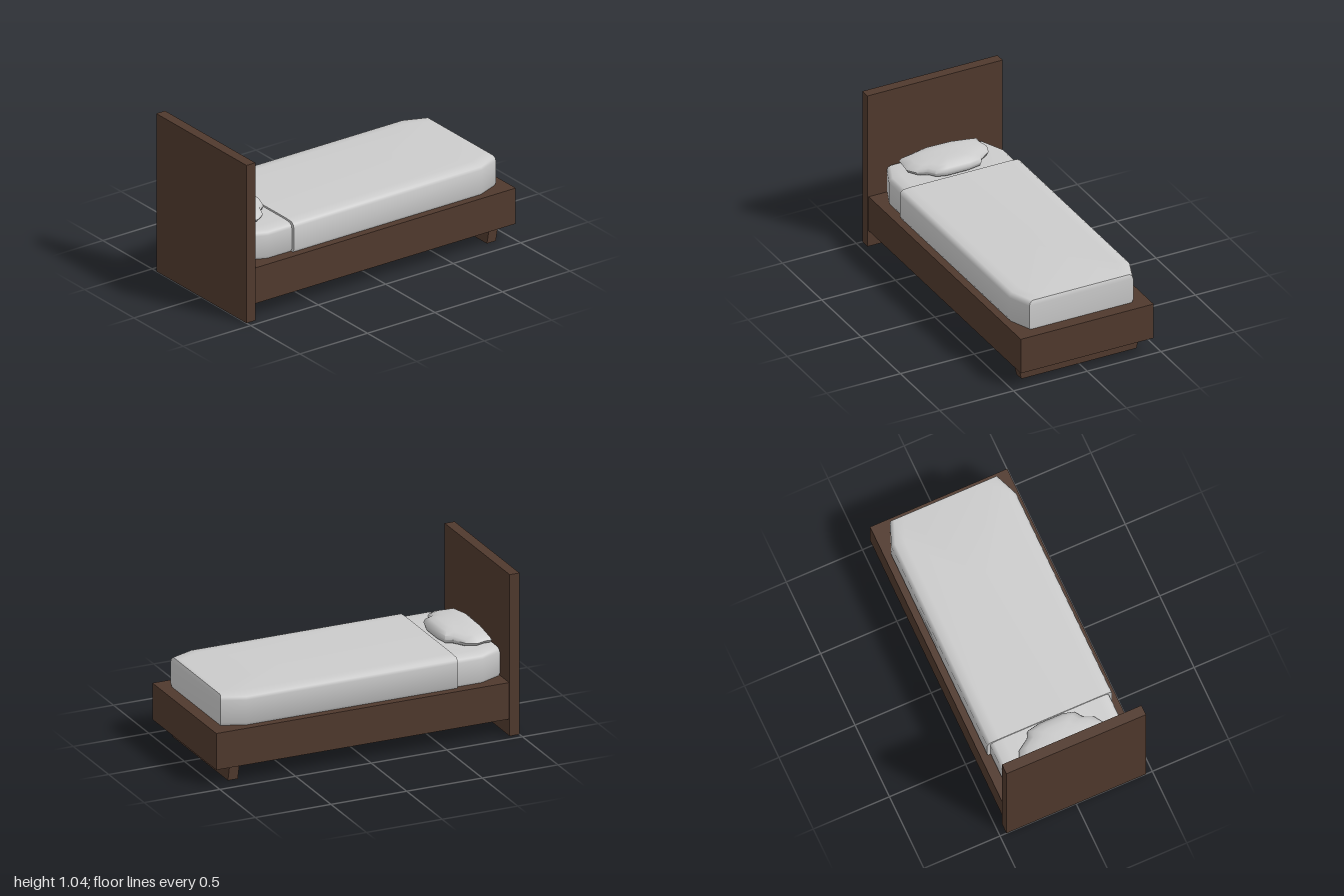
import * as THREE from 'three';
import { toCreasedNormals } from 'three/addons/utils/BufferGeometryUtils.js';

const wood = new THREE.MeshStandardMaterial({ color: 0x50392d });
const cloth = new THREE.MeshStandardMaterial({ color: 0xcccccc });

// Closed skin over stacked rings of [x, y, z] points, capped at both ends
function loft(rings, crease) {
  const n = rings[0].length;
  const points = rings.flat();
  const index = [];
  for (let r = 0; r < rings.length - 1; r++) {
    for (let i = 0; i < n; i++) {
      const a = r * n + i, b = r * n + (i + 1) % n;
      index.push(a, b, b + n, a, b + n, a + n);
    }
  }
  for (const top of [false, true]) {
    const start = top ? (rings.length - 1) * n : 0;
    const ring = points.slice(start, start + n);
    const middle = points.push([0, 1, 2].map(k => ring.reduce((s, p) => s + p[k], 0) / n)) - 1;
    for (let i = 0; i < n; i++) {
      const a = start + i, b = start + (i + 1) % n;
      if (top) index.push(a, b, middle);
      else index.push(b, a, middle);
    }
  }
  const geometry = new THREE.BufferGeometry();
  geometry.setAttribute('position', new THREE.Float32BufferAttribute(points.flat(), 3));
  geometry.setIndex(index);
  return toCreasedNormals(geometry, crease);
}

// Bedding slab with softened top and bottom; headX stays flush when openHead is set
function slab(outline, y0, y1, openHead) {
  const headX = Math.min(...outline.map(p => p[0]));
  const profile = [[0.01, y0], [0, y0 + 0.02], [0, y1 - 0.035], [0.006, y1 - 0.016],
    [0.022, y1 - 0.004], [0.08, y1]];
  return loft(profile.map(([inset, y]) => outline.map(([x, z]) => [
    openHead && x === headX ? x : x - Math.sign(x) * inset * 0.3,
    y,
    z - Math.sign(z) * inset,
  ])), 0.75);
}

export function createModel() {
  const bed = new THREE.Group();
  bed.name = 'bed';
  const add = (name, geometry, material, x = 0, y = 0, z = 0) => {
    const mesh = new THREE.Mesh(geometry, material);
    mesh.name = name;
    mesh.position.set(x, y, z);
    bed.add(mesh);
  };

  // Headboard and box base
  add('headboard', new THREE.BoxGeometry(0.065, 1.04, 0.916), wood, -0.9675, 0.52);
  add('bedBase', new THREE.BoxGeometry(1.935, 0.235, 0.9), wood, 0.0325, 0.2245);

  // Wide foot, tapered towards the floor
  const foot = new THREE.BoxGeometry(0.065, 0.11, 0.83);
  const pos = foot.attributes.position;
  for (let i = 0; i < pos.count; i++) {
    if (pos.getY(i) < 0) pos.setZ(i, pos.getZ(i) * 0.94);
  }
  add('foot', foot.toNonIndexed(), wood, 0.8625, 0.055);
  foot.computeVertexNormals();

  // Mattress with chamfered corners
  add('mattress', slab([[-0.93, 0.33], [-0.79, 0.39], [0.76, 0.39], [0.9, 0.33],
    [0.9, -0.33], [0.76, -0.39], [-0.79, -0.39], [-0.93, -0.33]], 0.34, 0.53, false), cloth);

  // Blanket wrapped round the mattress, square at the head end
  add('blanket', slab([[-0.615, 0.41], [0.78, 0.41], [0.925, 0.352],
    [0.925, -0.352], [0.78, -0.41], [-0.615, -0.41]], 0.341, 0.541, true), cloth);

  // Pillow: irregular outline swelling up and sinking towards its ends
  const outline = [[-0.9, 0.265], [-0.84, 0.27], [-0.78, 0.278], [-0.72, 0.24], [-0.695, 0.18],
    [-0.65, 0.15], [-0.63, 0.08], [-0.63, -0.08], [-0.645, -0.16], [-0.69, -0.185],
    [-0.74, -0.26], [-0.81, -0.285], [-0.86, -0.27], [-0.905, -0.272], [-0.915, -0.1], [-0.92, 0.1]];
  const swell = [[0.82, -0.022], [0.95, -0.008], [1, 0.018], [0.95, 0.042], [0.8, 0.06],
    [0.55, 0.068], [0.25, 0.07]];
  add('pillow', loft(swell.map(([s, h]) => outline.map(([x, z]) => {
    const sink = h > 0 ? 1 - 0.45 * (z * s / 0.28) ** 2 : 1;
    return [-0.78 + (x + 0.78) * s, 0.547 + h * sink, z * s];
  })), 0.9), cloth);

  return bed;
}
